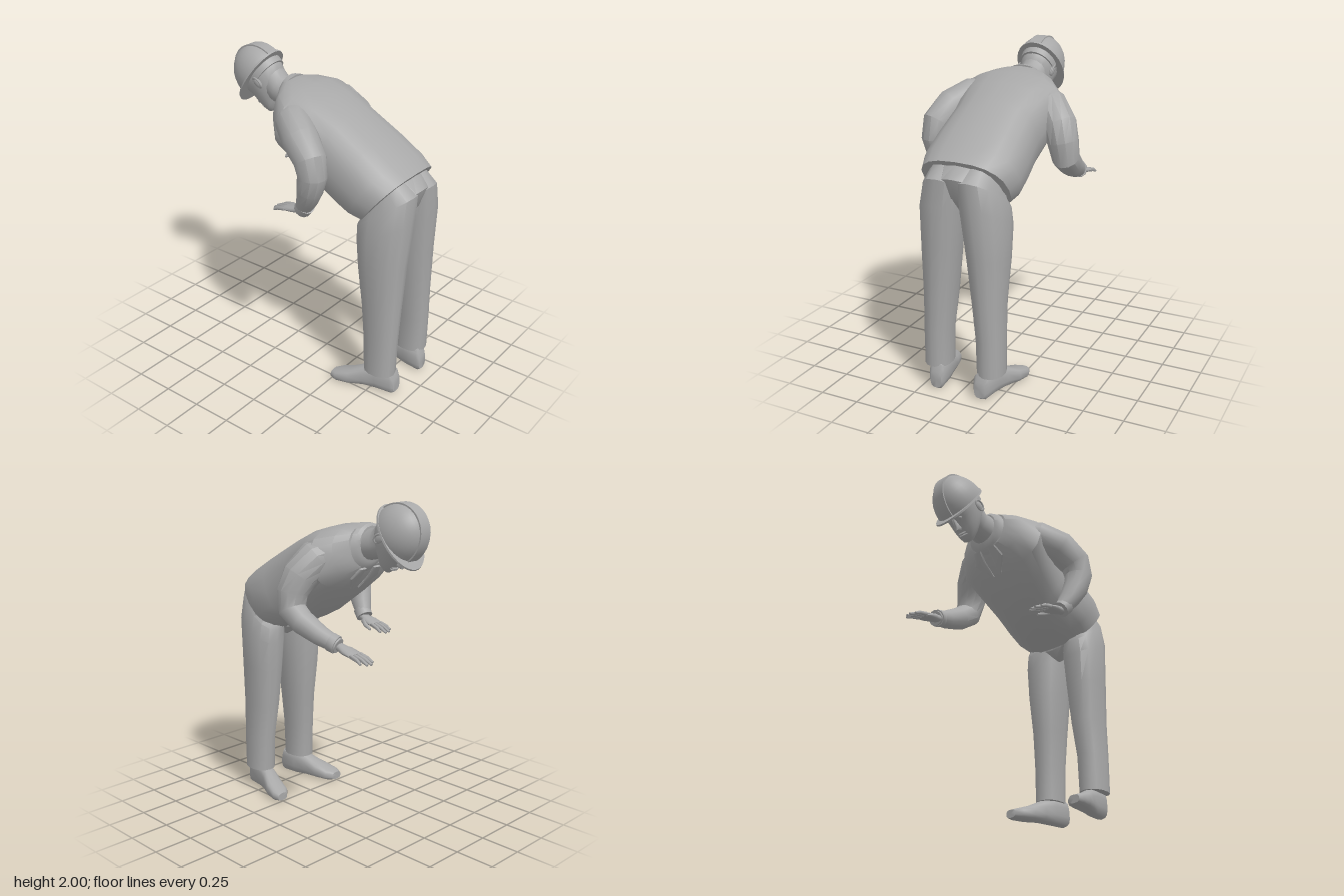
import * as THREE from 'three';
import { toCreasedNormals } from 'three/addons/utils/BufferGeometryUtils.js';

const V = (x, y, z) => new THREE.Vector3(x, y, z);

// Closed skin over rings { c, u, v }: centre and two half axes of a superellipse
function loft(rings, sides = 16, power = 2, crease = 0.6) {
  const step = rings[1].c.clone().sub(rings[0].c);
  const flip = rings[0].u.clone().cross(rings[0].v).dot(step) < 0 ? -1 : 1;
  const pos = [], idx = [], n = rings.length;
  const bulge = (t) => Math.sign(t) * Math.pow(Math.abs(t), 2 / power);
  for (const { c, u, v } of rings) {
    for (let i = 0; i < sides; i++) {
      const a = (i / sides) * Math.PI * 2;
      const p = c.clone().addScaledVector(u, bulge(Math.cos(a))).addScaledVector(v, flip * bulge(Math.sin(a)));
      pos.push(p.x, p.y, p.z);
    }
  }
  for (const r of [rings[0], rings[n - 1]]) pos.push(r.c.x, r.c.y, r.c.z);
  const last = (n - 1) * sides;
  for (let i = 0; i < sides; i++) {
    const j = (i + 1) % sides;
    for (let k = 0; k < n - 1; k++) {
      const a = k * sides, b = a + sides;
      idx.push(a + i, a + j, b + j, a + i, b + j, b + i);
    }
    idx.push(n * sides, j, i, n * sides + 1, last + i, last + j);
  }
  const g = new THREE.BufferGeometry();
  g.setAttribute('position', new THREE.Float32BufferAttribute(pos, 3));
  g.setIndex(idx);
  return toCreasedNormals(g, crease);
}

// Rings from two opposite profile points in the xy plane, a half width,
// a z centre and a z lean of the first point
const slab = (rows, sides, power, crease) => loft(rows.map(([x1, y1, x2, y2, w, z = 0, lean = 0]) => ({
  c: V((x1 + x2) / 2, (y1 + y2) / 2, z),
  u: V((x1 - x2) / 2, (y1 - y2) / 2, lean),
  v: V(0, 0, w),
})), sides, power, crease);

// Round tube with a radius at every path point
function limb(rows, sides = 12, crease = 0.6) {
  const p = rows.map((r) => V(r[0], r[1], r[2]));
  return loft(p.map((c, i) => {
    const t = p[Math.min(i + 1, p.length - 1)].clone().sub(p[Math.max(i - 1, 0)]).normalize();
    const hint = V(0, 0, 1);
    const u = hint.addScaledVector(t, -hint.dot(t)).normalize();
    const v = t.clone().cross(u);
    return { c, u: u.multiplyScalar(rows[i][3]), v: v.multiplyScalar(rows[i][3]) };
  }), sides, 2, crease);
}

export function createModel() {
  const grey = new THREE.MeshStandardMaterial({ color: 0xa8a8a8 });
  grey.name = 'plain grey';
  const model = new THREE.Group();
  model.name = 'bowingWorker';
  const add = (name, geo, parent = model) => {
    const m = new THREE.Mesh(geo, grey);
    m.name = name;
    parent.add(m);
    return m;
  };

  // Jacket, from collar to hem
  add('jacket', slab([
    [-0.25, 1.85, -0.27, 1.6, 0.16],
    [-0.19, 1.852, -0.23, 1.54, 0.25],
    [-0.08, 1.84, -0.16, 1.46, 0.335],
    [0.06, 1.8, -0.05, 1.36, 0.31],
    [0.22, 1.725, 0.08, 1.26, 0.285],
    [0.42, 1.61, 0.22, 1.19, 0.3],
    [0.56, 1.52, 0.31, 1.155, 0.305],
    [0.65, 1.46, 0.385, 1.13, 0.275],
  ], 20, 2.5));
  add('collar', slab([
    [-0.29, 1.845, -0.295, 1.63, 0.105],
    [-0.275, 1.86, -0.28, 1.6, 0.13],
    [-0.235, 1.862, -0.25, 1.57, 0.165],
  ], 20, 2));
  add('neck', slab([
    [-0.25, 1.83, -0.28, 1.64, 0.1],
    [-0.33, 1.835, -0.37, 1.66, 0.088],
    [-0.37, 1.88, -0.43, 1.68, 0.09],
  ], 16, 2, 1.2));

  // Seat of the trousers, narrowing into the notch between the legs
  add('trouserSeat', slab([
    [0.61, 1.45, 0.38, 1.19, 0.19],
    [0.698, 1.37, 0.385, 1.12, 0.14],
    [0.66, 1.25, 0.42, 1.08, 0.07],
    [0.58, 1.15, 0.46, 1.06, 0.03],
  ], 16, 2.4));
  for (const [side, s] of [['left', 1], ['right', -1]]) {
    add(side + 'Lapel', slab([
      [-0.272, 1.6, -0.287, 1.592, 0.03, s * 0.06],
      [-0.226, 1.54, -0.24, 1.53, 0.045, s * 0.075],
      [-0.156, 1.462, -0.166, 1.452, 0.01, s * 0.03],
    ], 8, 3));
    add(side + 'TrouserLeg', slab([
      [0.62, 1.43, 0.39, 1.18, 0.108, s * 0.118, -s * 0.015],
      [0.702, 1.36, 0.375, 1.13, 0.122, s * 0.13, -s * 0.03],
      [0.703, 1.2, 0.377, 1.04, 0.13, s * 0.144, -s * 0.02],
      [0.68, 0.9, 0.39, 0.85, 0.115, s * 0.155, -s * 0.01],
      [0.668, 0.6, 0.415, 0.6, 0.094, s * 0.162],
      [0.662, 0.38, 0.44, 0.38, 0.083, s * 0.175],
      [0.655, 0.145, 0.45, 0.145, 0.082, s * 0.178],
    ], 14, 2.3));
    // Shoe with the toe turned slightly outwards
    add(side + 'Shoe', slab([
      [0.662, 0.12, 0.662, 0.012, 0.038, s * 0.15],
      [0.64, 0.17, 0.645, 0, 0.052, s * 0.152],
      [0.53, 0.17, 0.54, 0, 0.055, s * 0.165],
      [0.45, 0.14, 0.46, 0.004, 0.058, s * 0.187],
      [0.37, 0.1, 0.37, 0, 0.068, s * 0.217],
      [0.29, 0.073, 0.29, 0, 0.064, s * 0.238],
      [0.25, 0.058, 0.25, 0.006, 0.038, s * 0.25],
    ], 14, 2.8, 0.9));
  }

  // Sleeves, starting deep inside the shoulders
  add('leftSleeve', limb([
    [-0.13, 1.7, 0.15, 0.09], [-0.05, 1.68, 0.255, 0.108], [0.07, 1.625, 0.335, 0.11],
    [0.17, 1.54, 0.378, 0.098], [0.19, 1.45, 0.385, 0.088], [0.165, 1.36, 0.378, 0.08],
    [0.125, 1.27, 0.355, 0.065], [0.085, 1.205, 0.335, 0.05],
  ]));
  add('rightSleeve', limb([
    [-0.13, 1.71, -0.15, 0.09], [-0.08, 1.66, -0.255, 0.108], [-0.035, 1.56, -0.34, 0.108],
    [-0.01, 1.46, -0.378, 0.095], [-0.025, 1.36, -0.392, 0.085], [-0.11, 1.3, -0.39, 0.075],
    [-0.24, 1.24, -0.372, 0.06], [-0.36, 1.195, -0.345, 0.046],
  ]));
  add('leftCuff', limb([[0.105, 1.225, 0.34, 0.056], [0.07, 1.185, 0.33, 0.054]]));
  add('rightCuff', limb([[-0.31, 1.215, -0.36, 0.056], [-0.35, 1.2, -0.348, 0.055]]));

  // Flat open hand reaching along -x; s gives the side, thumb pointing inwards
  const hand = (side, s, x, y, z, yaw, pitch) => {
    const g = new THREE.Group();
    g.name = side + 'Hand';
    g.position.set(x, y, z);
    g.rotation.set(0, yaw, pitch);
    model.add(g);
    add('palm', slab([
      [0.05, 0.022, 0.05, -0.022, 0.03], [0, 0.022, 0, -0.022, 0.034],
      [-0.05, 0.019, -0.05, -0.021, 0.05], [-0.12, 0.013, -0.12, -0.015, 0.05],
    ], 12, 2.4, 1), g);
    [0.1, 0.12, 0.115, 0.09].forEach((len, i) => {
      const k = s * (i - 1.5), z0 = k * 0.025, z1 = k * 0.03;
      add('finger', limb([
        [-0.11, 0, z0, 0.0135], [-0.12 - len * 0.5, -0.002, (z0 + z1) / 2, 0.012],
        [-0.11 - len, -0.012, z1, 0.008],
      ], 7, 1.2), g);
    });
    add('thumb', limb([
      [-0.03, -0.004, -s * 0.035, 0.018], [-0.08, -0.014, -s * 0.058, 0.014],
      [-0.13, -0.022, -s * 0.062, 0.008],
    ], 7, 1.2), g);
  };
  hand('left', 1, 0.06, 1.18, 0.322, -0.1, 0.2);
  hand('right', -1, -0.375, 1.185, -0.335, 0, 0.2);

  // Head, built upright with the face towards -x, then tipped forwards
  const head = new THREE.Group();
  head.name = 'head';
  head.position.set(-0.46, 1.8, 0);
  head.rotation.z = 0.97;
  model.add(head);
  add('face', slab([
    [-0.145, -0.155, -0.07, -0.145, 0.03],
    [-0.162, -0.142, -0.03, -0.125, 0.055],
    [-0.165, -0.11, 0.05, -0.09, 0.08],
    [-0.16, -0.06, 0.105, -0.06, 0.1],
    [-0.15, 0, 0.13, 0, 0.11],
    [-0.16, 0.05, 0.138, 0.05, 0.115],
    [-0.15, 0.12, 0.13, 0.12, 0.11],
  ], 20, 2.1, 1.3), head);
  add('nose', slab([
    [-0.16, 0.025, -0.13, 0.025, 0.01],
    [-0.178, -0.015, -0.13, -0.015, 0.014],
    [-0.194, -0.042, -0.13, -0.042, 0.022],
    [-0.172, -0.058, -0.13, -0.058, 0.018],
  ], 10, 2, 1.2), head);
  for (const y of [-0.083, -0.097]) {
    const lip = add('lip', new THREE.SphereGeometry(1, 12, 8), head);
    lip.position.set(-0.156, y, 0);
    lip.scale.set(0.018, 0.008, 0.034);
  }
  for (const s of [1, -1]) {
    const eye = add('eye', new THREE.SphereGeometry(0.014, 10, 8), head);
    eye.position.set(-0.134, 0.008, s * 0.042);
    const ear = add('ear', new THREE.SphereGeometry(1, 12, 8), head);
    ear.position.set(0.004, -0.012, s * 0.11);
    ear.scale.set(0.024, 0.04, 0.012);
    const rim = add('earRim', new THREE.TorusGeometry(0.022, 0.006, 6, 16), head);
    rim.position.set(0.006, -0.01, s * 0.116);
    rim.rotation.y = -s * 0.25;
    rim.scale.y = 1.6;
  }

  // Hard hat: dome, low centre ridge, brim with peak, and rear headband
  const dome = add('hatDome', new THREE.SphereGeometry(1, 28, 10, 0, Math.PI * 2, 0, Math.PI / 2), head);
  dome.position.set(-0.012, 0.05, 0);
  dome.scale.set(0.175, 0.196, 0.152);
  const arch = new THREE.Shape();
  arch.absellipse(0, 0, 0.176, 0.199, 0, Math.PI, false);
  const ridge = add('hatRidge', toCreasedNormals(
    new THREE.ExtrudeGeometry(arch, { depth: 0.08, bevelEnabled: false, curveSegments: 20 }), 0.6), head);
  ridge.position.set(-0.012, 0.05, -0.04);
  add('hatBrim', slab([
    [-0.243, 0.038, 0.18, 0.046, 0.158],
    [-0.24, 0.048, 0.18, 0.058, 0.156],
  ], 32, 2), head);
  const band = add('hatHeadband', new THREE.CylinderGeometry(0.14, 0.135, 0.04, 18, 1, false, 0, Math.PI), head);
  band.geometry.scale(1, 1, 0.85);
  band.position.set(0.008, 0.022, 0);

  return model;
}
